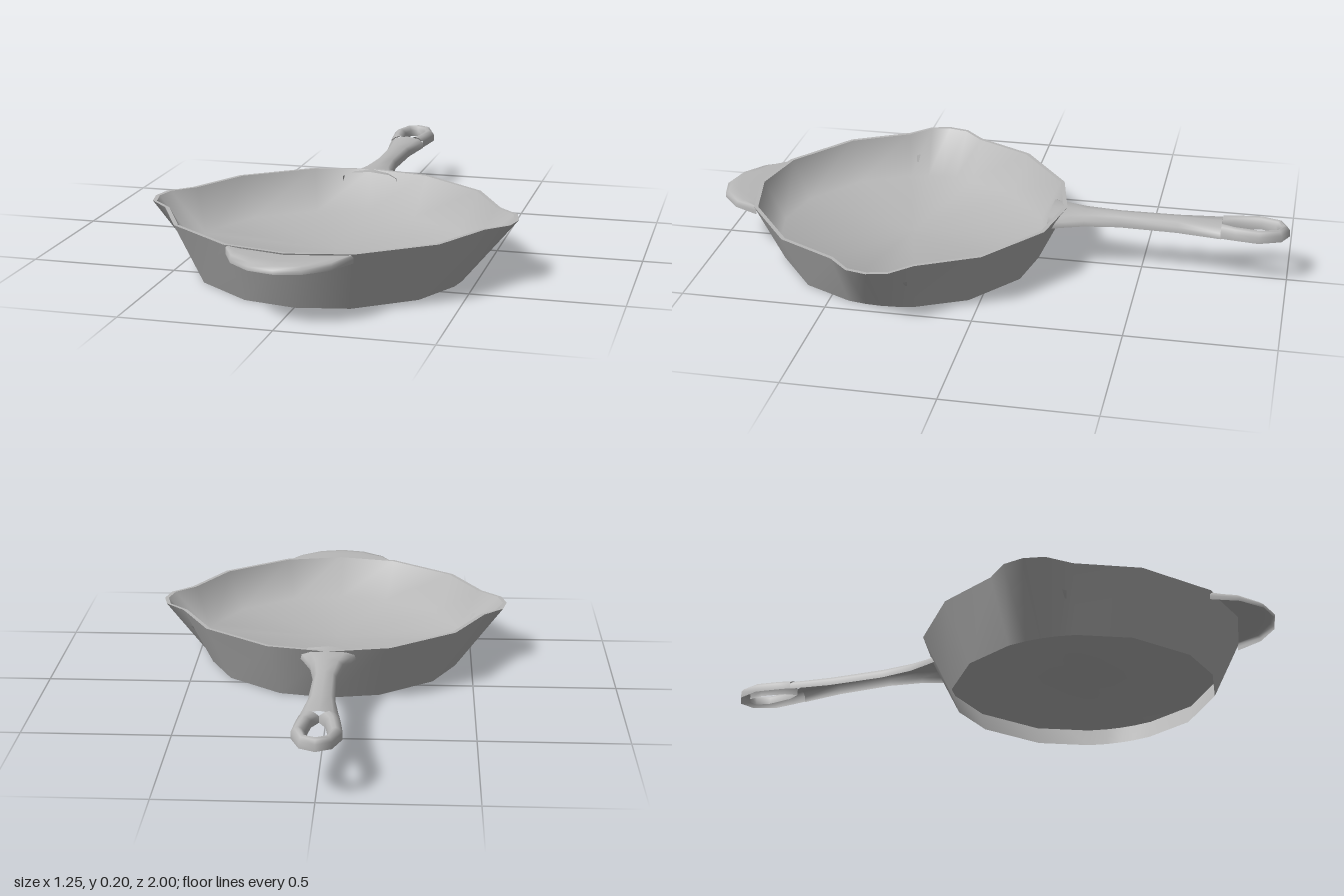
import * as THREE from 'three';

const CZ = 0.32; // centre of the pan along z
const TOP = 0.205;

// Grid of points (rows of equal length) to a smooth indexed surface
function sheet(rows, closed = false) {
  const n = rows[0].length, index = [];
  for (let r = 0; r < rows.length - 1; r++) {
    for (let i = 0; i < (closed ? n : n - 1); i++) {
      const j = (i + 1) % n, a = r * n + i, b = r * n + j, c = a + n, d = b + n;
      index.push(a, c, b, b, c, d);
    }
  }
  const g = new THREE.BufferGeometry();
  g.setAttribute('position', new THREE.Float32BufferAttribute(rows.flat(2), 3));
  g.setIndex(index);
  g.computeVertexNormals();
  return g;
}

// Right half of the rim outline, back to front, with the pouring spout in the middle
const halfRim = [
  [0, -0.235], [0.21, -0.19], [0.435, -0.02], [0.54, 0.18], [0.61, 0.25], [0.626, 0.32],
  [0.61, 0.39], [0.54, 0.46], [0.435, 0.66], [0.21, 0.83], [0, 0.875],
];
const rim = [...halfRim, ...halfRim.slice(1, -1).reverse().map(([x, z]) => [-x, z])];

// Ring at a height: either the rim pulled inward, or a circle through the rim's directions
const rimRing = (y, inset) => rim.map(([x, z]) => {
  const k = 1 - inset / Math.hypot(x, z - CZ);
  return [x * k, y, CZ + (z - CZ) * k];
});
const roundRing = (y, radius) => rim.map(([x, z]) => {
  const k = radius / Math.hypot(x, z - CZ);
  return [x * k, y, CZ + (z - CZ) * k];
});

export function createModel() {
  const group = new THREE.Group();
  const iron = new THREE.MeshStandardMaterial({ color: 0xb8b8b8, side: THREE.DoubleSide });
  iron.name = 'grey iron';
  const add = (name, geometry, parent = group) => {
    const mesh = new THREE.Mesh(geometry, iron);
    mesh.name = name;
    parent.add(mesh);
    return mesh;
  };

  // Pan: flaring outer wall with open foot, flat lip, and bowl with a raised floor
  add('outerWall', sheet([roundRing(0, 0.455), rimRing(TOP, 0)], true));
  add('rimLip', sheet([rimRing(TOP, 0), rimRing(TOP, 0.014)], true));
  add('bowl', sheet([
    rimRing(TOP, 0.014), roundRing(0.065, 0.47), rim.map(() => [0, 0.06, CZ]),
  ], true));

  // Handle: rounded shell, each row is [z, outer half width, half width of the hanging hole]
  const handleRows = [
    [-0.18, 0.1, 0], [-0.23, 0.08, 0], [-0.3, 0.055, 0], [-0.42, 0.038, 0], [-0.62, 0.043, 0],
    [-0.77, 0.063, 0], [-0.82, 0.07, 0.022], [-0.9, 0.079, 0.036], [-0.95, 0.062, 0.03],
    [-0.963, 0.057, 0.012], [-0.966, 0.055, 0],
  ];
  const section = ([z, w, h], side) => {
    const t = w - h;
    return [
      [h, h > 0 ? 0.168 : 0.203], [h, 0.196], [h + t * 0.35, TOP],
      [h + t * 0.75, 0.199], [w, 0.185], [w, 0.165],
    ].map(([x, y]) => [side * x, y, z]);
  };
  const handle = new THREE.Group();
  handle.name = 'handle';
  group.add(handle);
  // The stem spans the full width in one smooth arch
  const arch = [[-1, 0.163], [-1, 0.184], [-0.7, 0.198], [0, TOP], [0.7, 0.198], [1, 0.184], [1, 0.163]];
  add('handleStem', sheet(handleRows.slice(0, 6).map(([z, w]) =>
    arch.map(([u, y]) => [u * w, y, z])).reverse()), handle);
  // Loop around the hanging hole, swept from the stem round the end and back
  const loop = [
    [0.063, -0.77, 0, -0.77], [0.07, -0.82, 0.022, -0.81], [0.079, -0.9, 0.036, -0.9],
    [0.05, -0.975, 0.026, -0.95], [0, -1, 0, -0.962],
  ];
  const ring = [...loop, ...loop.slice(0, -1).reverse().map(([a, b, c, d]) => [-a, b, -c, d])];
  const ringProfile = [[0, 0.165], [0, 0.188], [0.25, 0.2], [0.5, TOP], [0.75, 0.2], [1, 0.188], [1, 0.165]];
  add('hangingLoop', sheet(ring.map(([ox, oz, ix, iz]) =>
    ringProfile.map(([u, y]) => [ox + (ix - ox) * u, y, oz + (iz - oz) * u]))), handle);

  // Helper grip at the front: thin tab with a turned-down edge
  const tabHalf = [[0.205, 0.825], [0.16, 0.915], [0.085, 0.978], [0, 0.998]];
  const tab = [...tabHalf.map(([x, z]) => [-x, z]), ...tabHalf.slice(0, -1).reverse()];
  const inner = tab.map(([x]) => [x * 0.95, 0.2, 0.87 - Math.abs(x) * 0.215]);
  const blend = (k, y) => tab.map(([x, z], i) => [
    inner[i][0] + (x - inner[i][0]) * k, y, inner[i][2] + (z - inner[i][2]) * k,
  ]);
  add('helperGrip', sheet([inner, blend(0.6, 0.203), blend(0.9, 0.198), blend(1, 0.188), blend(1, 0.175)]));

  return group;
}
